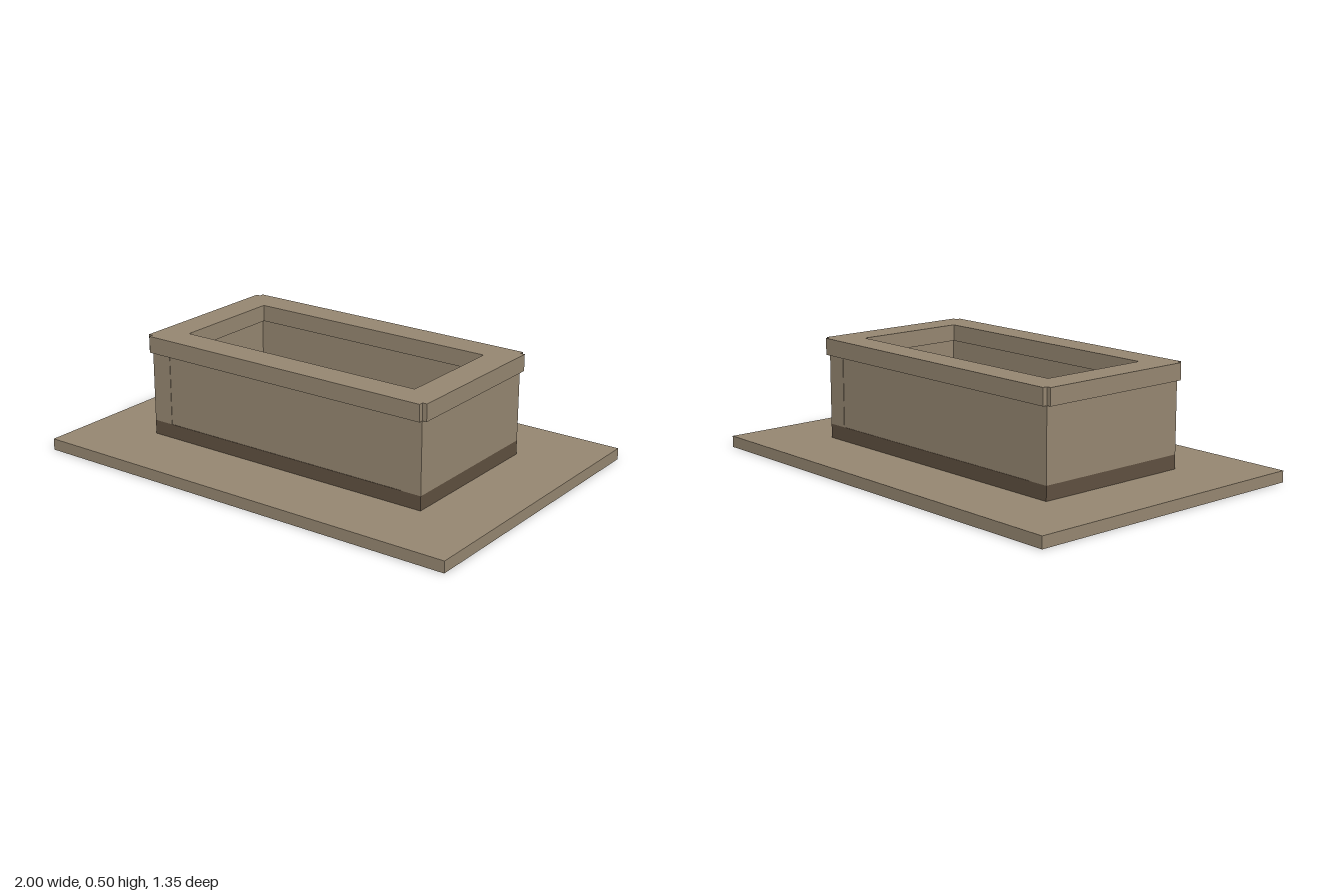
import * as THREE from 'three';

export function createModel() {
  const model = new THREE.Group();
  const stone = new THREE.MeshStandardMaterial({ color: 0x968771 });
  stone.name = 'stone';
  const darkStone = new THREE.MeshStandardMaterial({ color: 0x5f5040 });
  darkStone.name = 'dark stone';

  // Box given by its extents on each axis
  function box(name, material, [x0, x1], [y0, y1], [z0, z1], parent = model) {
    const mesh = new THREE.Mesh(new THREE.BoxGeometry(x1 - x0, y1 - y0, z1 - z0), material);
    mesh.position.set((x0 + x1) / 2, (y0 + y1) / 2, (z0 + z1) / 2);
    mesh.name = name;
    parent.add(mesh);
  }

  // Ground slab
  box('baseSlab', stone, [-1, 1], [0, 0.05], [-0.675, 0.675]);

  const basin = new THREE.Group();
  basin.name = 'basin';
  basin.position.x = -0.002;
  model.add(basin);

  // Dark plinth that also forms the basin floor
  box('plinth', darkStone, [-0.688, 0.688], [0.04, 0.112], [-0.362, 0.362], basin);

  // End walls run the full depth; long walls sit between them, very slightly recessed
  const wallY = [0.112, 0.424];
  box('leftWall', stone, [0.595, 0.688], wallY, [-0.362, 0.362], basin);
  box('rightWall', stone, [-0.688, -0.595], wallY, [-0.362, 0.362], basin);
  box('frontWall', stone, [-0.595, 0.595], wallY, [0.265, 0.36], basin);
  box('backWall', stone, [-0.595, 0.595], wallY, [-0.36, -0.265], basin);

  // Coping ring with notched corners and a rectangular opening
  const X = 0.708, Z = 0.382, nx = 0.688, nz = 0.362;
  const outline = new THREE.Shape([
    [nx, -Z], [nx, -nz], [X, -nz], [X, nz], [nx, nz], [nx, Z],
    [-nx, Z], [-nx, nz], [-X, nz], [-X, -nz], [-nx, -nz], [-nx, -Z],
  ].map(([x, z]) => new THREE.Vector2(x, z)));
  outline.holes.push(new THREE.Path([
    [-0.578, -0.253], [-0.578, 0.253], [0.578, 0.253], [0.578, -0.253],
  ].map(([x, z]) => new THREE.Vector2(x, z))));
  const copingGeometry = new THREE.ExtrudeGeometry(outline, { depth: 0.073, bevelEnabled: false });
  copingGeometry.rotateX(-Math.PI / 2);
  const coping = new THREE.Mesh(copingGeometry, stone);
  coping.position.y = 0.424;
  coping.name = 'coping';
  basin.add(coping);

  return model;
}
